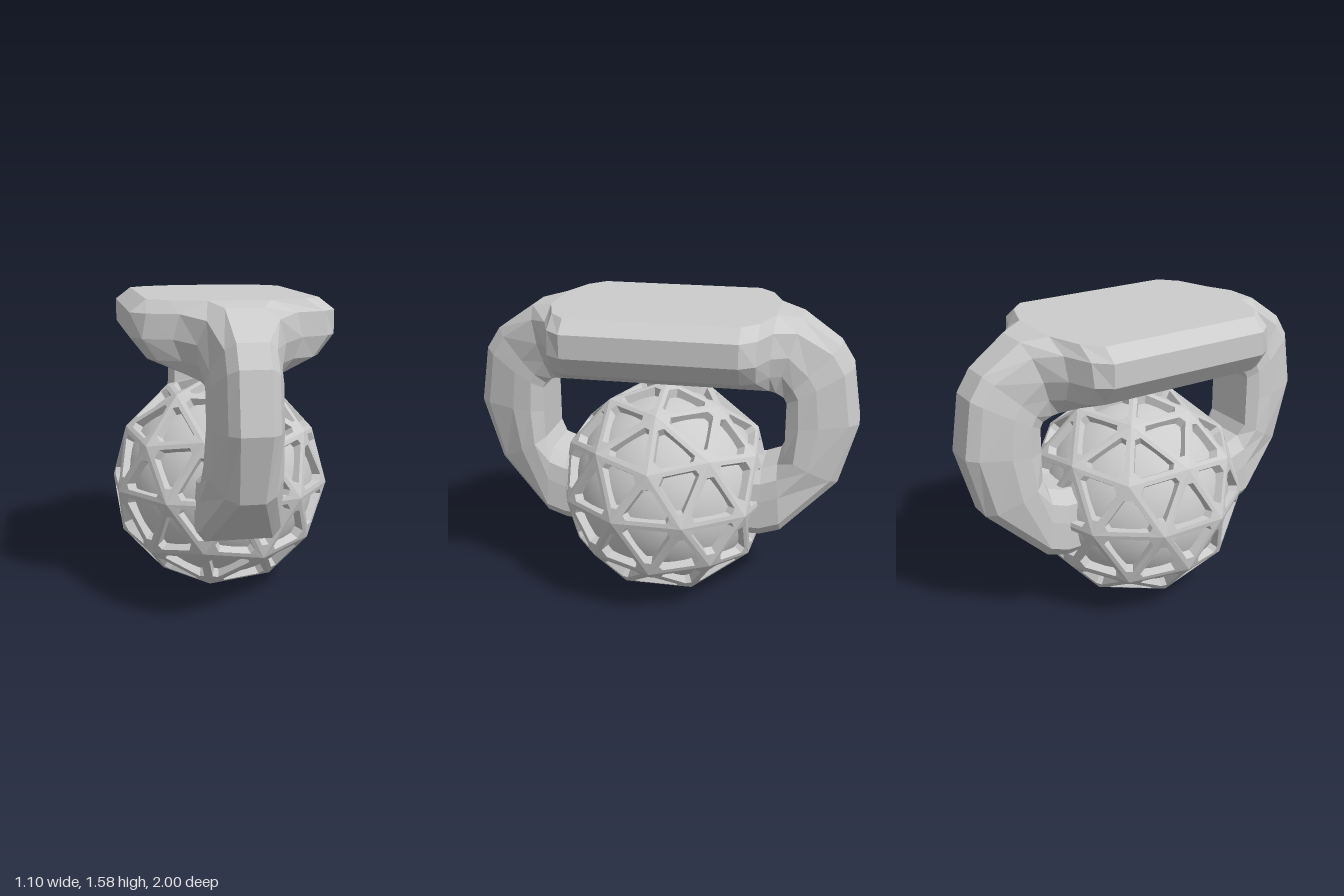
import * as THREE from 'three';

const R = 0.58, CENTRE_Y = 0.58;

function meshFrom(name, pos, material) {
  const geo = new THREE.BufferGeometry();
  geo.setAttribute('position', new THREE.Float32BufferAttribute(pos, 3));
  geo.computeVertexNormals();
  const mesh = new THREE.Mesh(geo, material);
  mesh.name = name;
  return mesh;
}

// Icosahedron standing on a pole, each face split in four
function geodesicFaces() {
  const at = (y, deg) => {
    const a = THREE.MathUtils.degToRad(deg), r = Math.sqrt(1 - y * y);
    return new THREE.Vector3(r * Math.cos(a), y, r * Math.sin(a));
  };
  const h = 1 / Math.sqrt(5), top = at(1, 0), bottom = at(-1, 0), faces = [];
  for (let k = 0; k < 5; k++) {
    const u0 = at(h, 72 * k), u1 = at(h, 72 * k + 72);
    const l0 = at(-h, 72 * k + 36), l1 = at(-h, 72 * k + 108);
    faces.push([top, u1, u0], [u0, u1, l0], [l0, u1, l1], [l0, l1, bottom]);
  }
  const mid = (a, b) => a.clone().add(b).normalize();
  return faces.flatMap(([a, b, c]) => {
    const ab = mid(a, b), bc = mid(b, c), ca = mid(c, a);
    return [[a, ab, ca], [ab, b, bc], [ca, bc, c], [ab, bc, ca]];
  });
}

// Lattice of flat struts and hubs: every face has a hole with cut corners and sloped walls
function createLattice(material) {
  const pos = [], tri = (...p) => p.forEach((v) => pos.push(v.x, v.y, v.z));
  const strut = 0.022, hub = 0.075;
  for (const face of geodesicFaces()) {
    const v = face.map((p) => p.clone().multiplyScalar(R));
    const centre = v[0].clone().add(v[1]).add(v[2]).divideScalar(3);
    const normal = centre.clone().normalize();
    const hole = [];
    for (let i = 0; i < 3; i++) {
      const a = v[i], b = v[(i + 1) % 3];
      const along = b.clone().sub(a).normalize();
      const inward = normal.clone().cross(along).normalize().multiplyScalar(strut);
      hole.push(a.clone().addScaledVector(along, hub).add(inward));
      hole.push(b.clone().addScaledVector(along, -hub).add(inward));
    }
    for (let i = 0; i < 3; i++) {
      const a = v[i], b = v[(i + 1) % 3], start = hole[2 * i], end = hole[2 * i + 1];
      tri(a, start, hole[(2 * i + 5) % 6]);
      tri(a, b, end);
      tri(a, end, start);
    }
    const deep = hole.map((p) => p.clone().lerp(centre, 0.14).multiplyScalar(0.84));
    for (let k = 0; k < 6; k++) {
      const n = (k + 1) % 6;
      tri(hole[k], hole[n], deep[n]);
      tri(hole[k], deep[n], deep[k]);
    }
  }
  return meshFrom('ballLattice', pos, material);
}

// Handle: cross-sections from the front foot up over the grip and down to the back foot.
// Each station: outer [z, y], inner [z, y], then five half-widths from outer to inner side.
function createHandle(material) {
  const gripDepth = [0, 0.16, 0.47, 0.74, 1], armDepth = [0, 0.14, 0.55, 0.82, 1];
  const arm = [0.075, 0.12, 0.17, 0.18, 0.15];
  const foot = [0.16, 0.2, 0.2, 0.19, 0.13];
  const half = [
    [[0.4, 0.4], [0.4, 0.76], foot, armDepth],
    [[0.525, 0.4], [0.52, 0.76], foot, armDepth],
    [[0.63, 0.435], [0.6, 0.79], foot, armDepth],
    [[0.91, 0.69], [0.635, 0.85], [0.06, 0.12, 0.18, 0.19, 0.15], armDepth],
    [[1.0, 1.02], [0.635, 1.0], arm, armDepth],
    [[0.955, 1.31], [0.635, 1.13], arm, armDepth],
    [[0.885, 1.42], [0.62, 1.16], arm, armDepth],
    [[0.69, 1.555], [0.58, 1.19], [0.09, 0.17, 0.21, 0.2, 0.17], gripDepth],
    [[0.57, 1.58], [0.55, 1.2], [0.15, 0.28, 0.31, 0.27, 0.18], gripDepth],
    [[0.51, 1.58], [0.5, 1.2], [0.33, 0.43, 0.45, 0.38, 0.18], gripDepth],
    [[0.43, 1.58], [0.43, 1.2], [0.42, 0.5, 0.5, 0.42, 0.18], gripDepth],
  ];
  const back = half.map(([o, i, w, d]) => [[-o[0], o[1]], [-i[0], i[1]], w, d]).reverse();
  const rings = [...half, ...back].map(([o, i, widths, depth]) => {
    const side = (s) => widths.map((w, k) => [
      s * w,
      THREE.MathUtils.lerp(o[1], i[1], depth[k]),
      THREE.MathUtils.lerp(o[0], i[0], depth[k]),
    ]);
    return [...side(1), ...side(-1).reverse()];
  });
  const pos = [];
  for (let r = 0; r < rings.length - 1; r++) {
    const a = rings[r], b = rings[r + 1];
    for (let k = 0; k < a.length; k++) {
      const n = (k + 1) % a.length;
      pos.push(...a[k], ...a[n], ...b[n], ...a[k], ...b[n], ...b[k]);
    }
  }
  return meshFrom('handle', pos, material);
}

export function createModel() {
  const model = new THREE.Group();
  model.name = 'handledBall';
  const flat = new THREE.MeshStandardMaterial({ color: 0xcccccc, flatShading: true });
  const smooth = new THREE.MeshStandardMaterial({ color: 0xcccccc });

  // Ball: lattice over a rounded core
  const ball = new THREE.Group();
  ball.name = 'ball';
  ball.position.y = CENTRE_Y;
  const core = new THREE.Mesh(new THREE.SphereGeometry(0.515, 48, 32), smooth);
  core.name = 'ballCore';
  ball.add(createLattice(flat), core);

  model.add(ball, createHandle(flat));
  return model;
}
